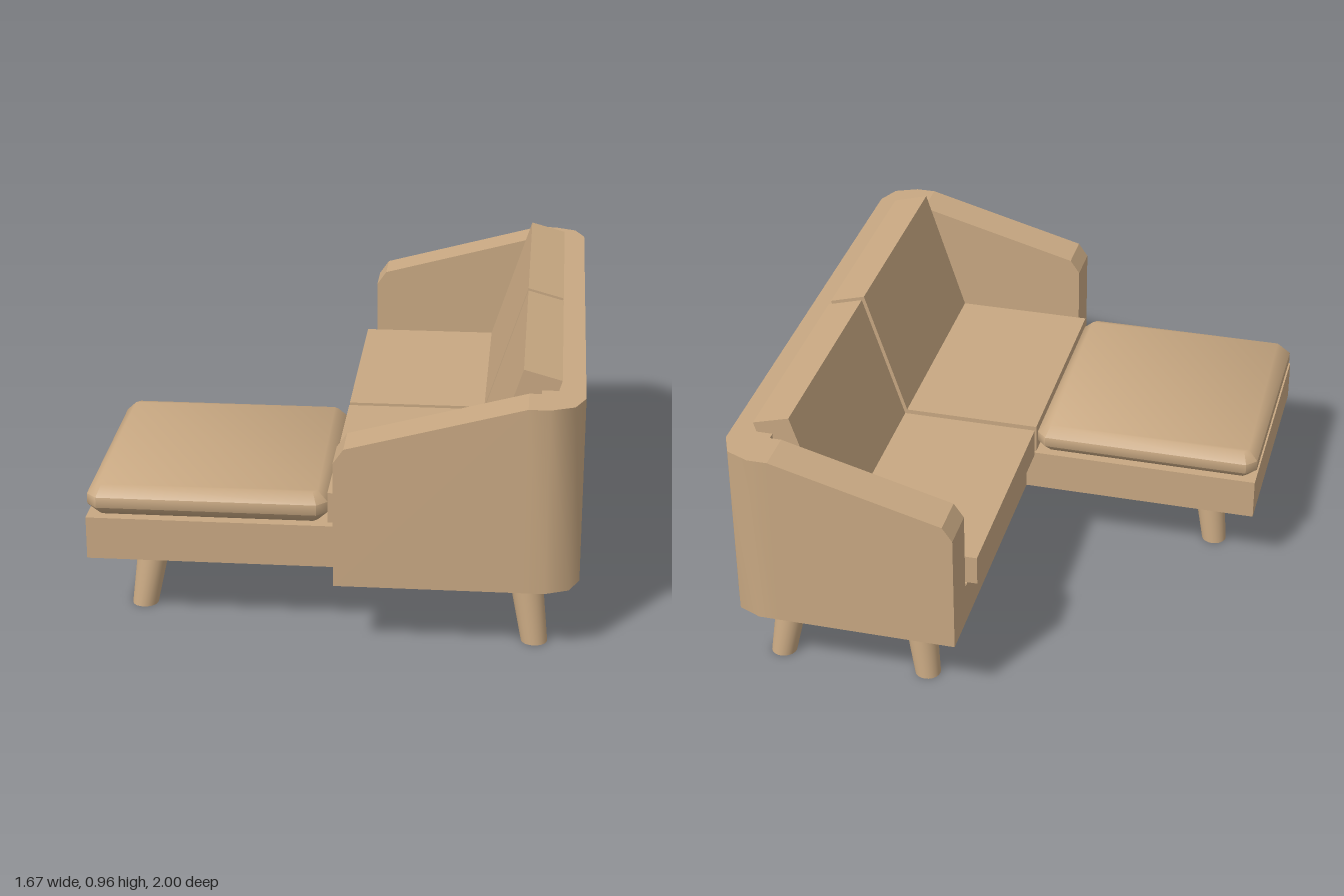
import * as THREE from 'three';
import { toCreasedNormals } from 'three/addons/utils/BufferGeometryUtils.js';

export function createModel() {
  const group = new THREE.Group();
  const tan = new THREE.MeshStandardMaterial({ color: 0xc8a882 });
  tan.name = 'tan';

  const add = (name, geometry) => {
    const mesh = new THREE.Mesh(geometry, tan);
    mesh.name = name;
    group.add(mesh);
    return mesh;
  };
  const shapeOf = (points) => new THREE.Shape(points.map(([x, y]) => new THREE.Vector2(x, y)));
  const box = (name, x0, x1, y0, y1, z0, z1) =>
    add(name, new THREE.BoxGeometry(x1 - x0, y1 - y0, z1 - z0)
      .translate((x0 + x1) / 2, (y0 + y1) / 2, (z0 + z1) / 2));
  // Side profile (x, y) extruded from z0 to z1
  const profile = (name, points, z0, z1) =>
    add(name, new THREE.ExtrudeGeometry(shapeOf(points), { depth: z1 - z0, bevelEnabled: false })
      .translate(0, 0, z0));

  // Low platform: seat and chaise
  box('seatBase', 0.02, 0.69, 0.24, 0.39, -0.855, 0.855);
  box('chaiseBase', -0.835, 0.02, 0.24, 0.39, 0, 0.855);

  // Sloping arms
  const arm = [[0.02, 0.24], [0.65, 0.24], [0.65, 0.89], [0.055, 0.73], [0.02, 0.68]];
  profile('leftArm', arm, 0.855, 1);
  profile('rightArm', arm, -1, -0.855);

  // Backrest with rounded outer corners, plan drawn as (x, -z)
  const half = [[0.69, -0.855], [0.65, -0.855], [0.65, -1], [0.72, -1], [0.80, -0.965], [0.835, -0.885]];
  const plan = [...half, ...half.map(([x, z]) => [x, -z]).reverse()];
  const back = new THREE.ExtrudeGeometry(shapeOf(plan), { depth: 0.65, bevelEnabled: false });
  back.rotateX(-Math.PI / 2).translate(0, 0.24, 0);
  add('backrest', toCreasedNormals(back, 0.9));

  // Seat cushions and leaning back cushions
  const lean = [[0.475, 0.48], [0.61, 0.44], [0.757, 0.925], [0.63, 0.96]];
  for (const [side, z0, z1] of [['right', -0.828, -0.015], ['left', 0.01, 0.822]]) {
    box(side + 'SeatCushion', -0.015, 0.62, 0.39, 0.497, z0, z1);
    profile(side + 'BackCushion', lean, z0, z1);
  }

  // Bevelled chaise cushion
  const x0 = -0.8, x1 = -0.05, z0 = 0.035, z1 = 0.815, c = 0.015;
  const pad = new THREE.ExtrudeGeometry(shapeOf([
    [x0 + c, -z1], [x1 - c, -z1], [x1, -z1 + c], [x1, -z0 - c],
    [x1 - c, -z0], [x0 + c, -z0], [x0, -z0 - c], [x0, -z1 + c],
  ]), { depth: 0.037, bevelThickness: 0.035, bevelSize: 0.035, bevelSegments: 1 });
  pad.rotateX(-Math.PI / 2).translate(0, 0.425, 0);
  add('chaiseCushion', toCreasedNormals(pad, 0.9));

  // Splayed tapered legs: foot position and outward direction
  const legs = [
    [0.69, 0.86, 1, 1], [0.69, -0.86, 1, -1], [0.16, -0.86, -1, -1],
    [-0.67, 0.685, -1, 1], [-0.67, 0.175, -1, -1],
  ];
  for (const [x, z, dx, dz] of legs) {
    const leg = new THREE.CylinderGeometry(0.058, 0.045, 0.24, 20).translate(0, 0.12, 0);
    const p = leg.attributes.position;
    for (let i = 0; i < p.count; i++) {
      const t = p.getY(i) / 0.24 * 0.037;
      p.setX(i, p.getX(i) + x - dx * t);
      p.setZ(i, p.getZ(i) + z - dz * t);
    }
    add('leg', toCreasedNormals(leg, 0.7));
  }
  return group;
}
